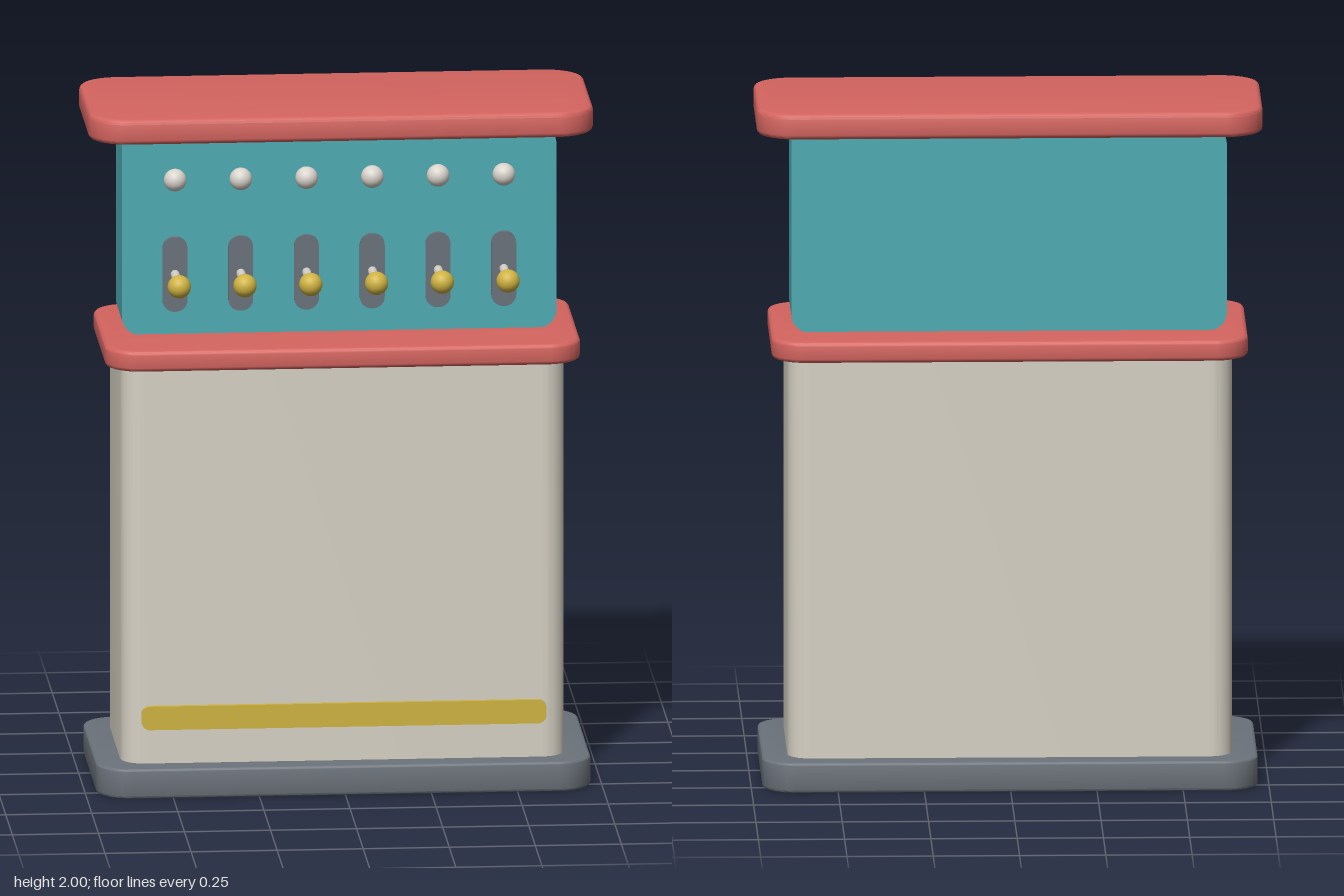
import * as THREE from 'three';
import { toCreasedNormals } from 'three/addons/utils/BufferGeometryUtils.js';

const paint = (name, color) => {
  const m = new THREE.MeshStandardMaterial({ color });
  m.name = name;
  return m;
};

// Rounded rectangle centred on the origin
function roundedRect(w, h, r) {
  const x = w / 2, y = h / 2, s = new THREE.Shape();
  s.absarc(x - r, y - r, r, 0, Math.PI / 2);
  s.absarc(-x + r, y - r, r, Math.PI / 2, Math.PI);
  s.absarc(-x + r, -y + r, r, Math.PI, Math.PI * 1.5);
  s.absarc(x - r, -y + r, r, Math.PI * 1.5, Math.PI * 2);
  s.closePath();
  return s;
}

// Rounded plate from z = 0 to z = depth, with optional softened rims
function plate(w, h, depth, r, bevel = 0) {
  const g = new THREE.ExtrudeGeometry(roundedRect(w - 2 * bevel, h - 2 * bevel, r - bevel), {
    depth: depth - 2 * bevel, curveSegments: 8,
    bevelEnabled: bevel > 0, bevelSize: bevel, bevelThickness: bevel, bevelSegments: 3,
  });
  g.translate(0, 0, bevel);
  return toCreasedNormals(g, 0.6);
}

// The same plate lying flat, from y0 to y1
function slab(w, d, y0, y1, r, bevel, z = 0) {
  return plate(w, d, y1 - y0, r, bevel).rotateX(-Math.PI / 2).translate(0, y0, z);
}

export function createModel() {
  const root = new THREE.Group();
  root.name = 'leverConsole';
  const red = paint('coral red', 0xd4645f);
  const teal = paint('teal', 0x4fabb3);
  const cream = paint('warm cream', 0xd6d1c4);
  const grey = paint('slate grey', 0x6b727a);
  const brass = paint('brass yellow', 0xcfb341);
  const ivory = paint('pale ivory', 0xd8d3cb);

  const add = (name, geometry, material, parent = root) => {
    const mesh = new THREE.Mesh(geometry, material);
    mesh.name = name;
    parent.add(mesh);
    return mesh;
  };

  // Stacked housing
  add('base', slab(1.436, 0.67, 0, 0.088, 0.1, 0.008), grey);
  add('body', slab(1.288, 0.526, 0.085, 1.268, 0.07, 0), cream);
  add('deck', slab(1.38, 0.616, 1.264, 1.325, 0.1, 0.012, 0.002), red);
  add('panel', plate(1.262, 0.605, 0.234, 0.055).translate(0, 1.625, -0.145), teal);
  add('cap', slab(1.466, 0.556, 1.925, 2, 0.11, 0.014, -0.031), red);

  // Kick strip on the lower front
  add('kickStrip', plate(1.176, 0.07, 0.016, 0.025).translate(0, 0.225, 0.26), brass);

  // Row of levers with slots and indicator lamps
  const slotGeo = plate(0.072, 0.222, 0.014, 0.034);
  const rodGeo = new THREE.CylinderGeometry(0.013, 0.013, 0.17, 16).rotateX(Math.PI / 2);
  const knobGeo = new THREE.SphereGeometry(0.034, 24, 16);
  const lampGeo = new THREE.SphereGeometry(0.033, 24, 16);
  for (let i = 0; i < 6; i++) {
    const lever = new THREE.Group();
    lever.name = 'lever' + (i + 1);
    lever.position.x = (i - 2.5) * 0.191;
    add('slot', slotGeo, grey, lever).position.set(0, 1.504, 0.087);
    add('rod', rodGeo, ivory, lever).position.set(0, 1.505, 0.17);
    add('knob', knobGeo, brass, lever).position.set(0, 1.505, 0.258);
    add('lamp', lampGeo, ivory, lever).position.set(0, 1.785, 0.099);
    root.add(lever);
  }
  return root;
}
